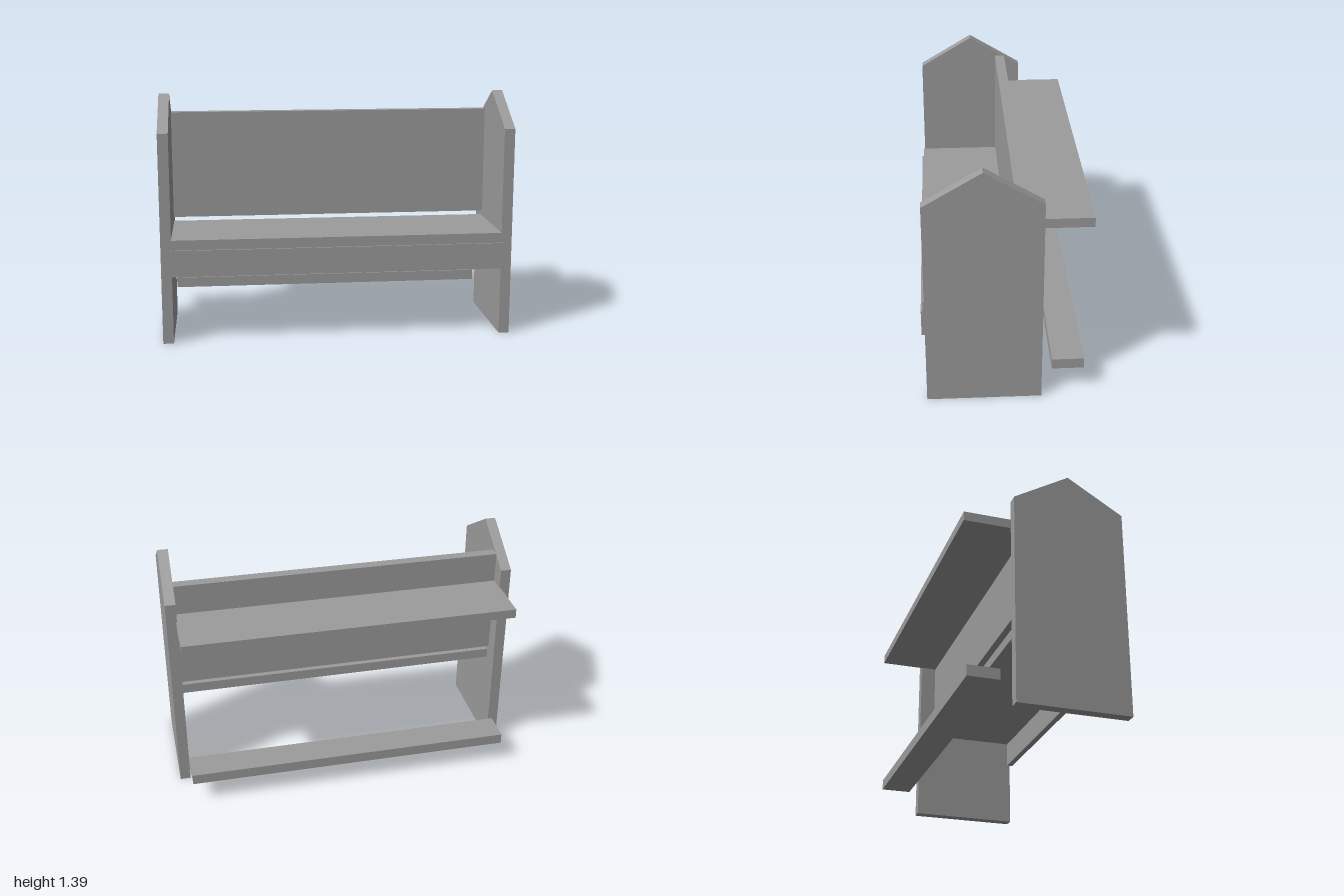
import * as THREE from 'three';

export function createModel() {
  const group = new THREE.Group();
  group.name = 'pew';
  const grey = new THREE.MeshStandardMaterial({ color: 0x9c9c9c });
  grey.name = 'grey';

  // Plank centred on x, given its half length and its y and z limits
  function plank(name, halfLength, y0, y1, z0, z1) {
    const mesh = new THREE.Mesh(new THREE.BoxGeometry(halfLength * 2, y1 - y0, z1 - z0), grey);
    mesh.position.set(0, (y0 + y1) / 2, (z0 + z1) / 2);
    mesh.name = name;
    group.add(mesh);
  }

  // Gabled end panels; the outline is drawn as (-z, y) and turned to face sideways
  const outline = new THREE.Shape([
    [-0.437, 0], [0.192, 0], [0.192, 1.198], [-0.123, 1.386], [-0.437, 1.198],
  ].map(([a, b]) => new THREE.Vector2(a, b)));
  const thickness = 0.06;
  const panel = new THREE.ExtrudeGeometry(outline, { depth: thickness, bevelEnabled: false });
  panel.rotateY(Math.PI / 2);
  for (const [name, x] of [['leftEndPanel', 1 - thickness], ['rightEndPanel', -1]]) {
    const mesh = new THREE.Mesh(panel, grey);
    mesh.position.x = x;
    mesh.name = name;
    group.add(mesh);
  }

  // Boards between the panels
  plank('backrest', 0.94, 0.632, 1.26, -0.098, -0.038);
  plank('seat', 0.943, 0.543, 0.6, -0.08, 0.446);
  plank('seatApron', 0.945, 0.392, 0.543, 0.42, 0.456);

  // Book shelf and kneeler behind the backrest
  plank('bookShelf', 0.945, 1.032, 1.085, -0.456, -0.098);
  plank('kneeler', 0.94, 0.136, 0.197, -0.43, -0.253);

  return group;
}
